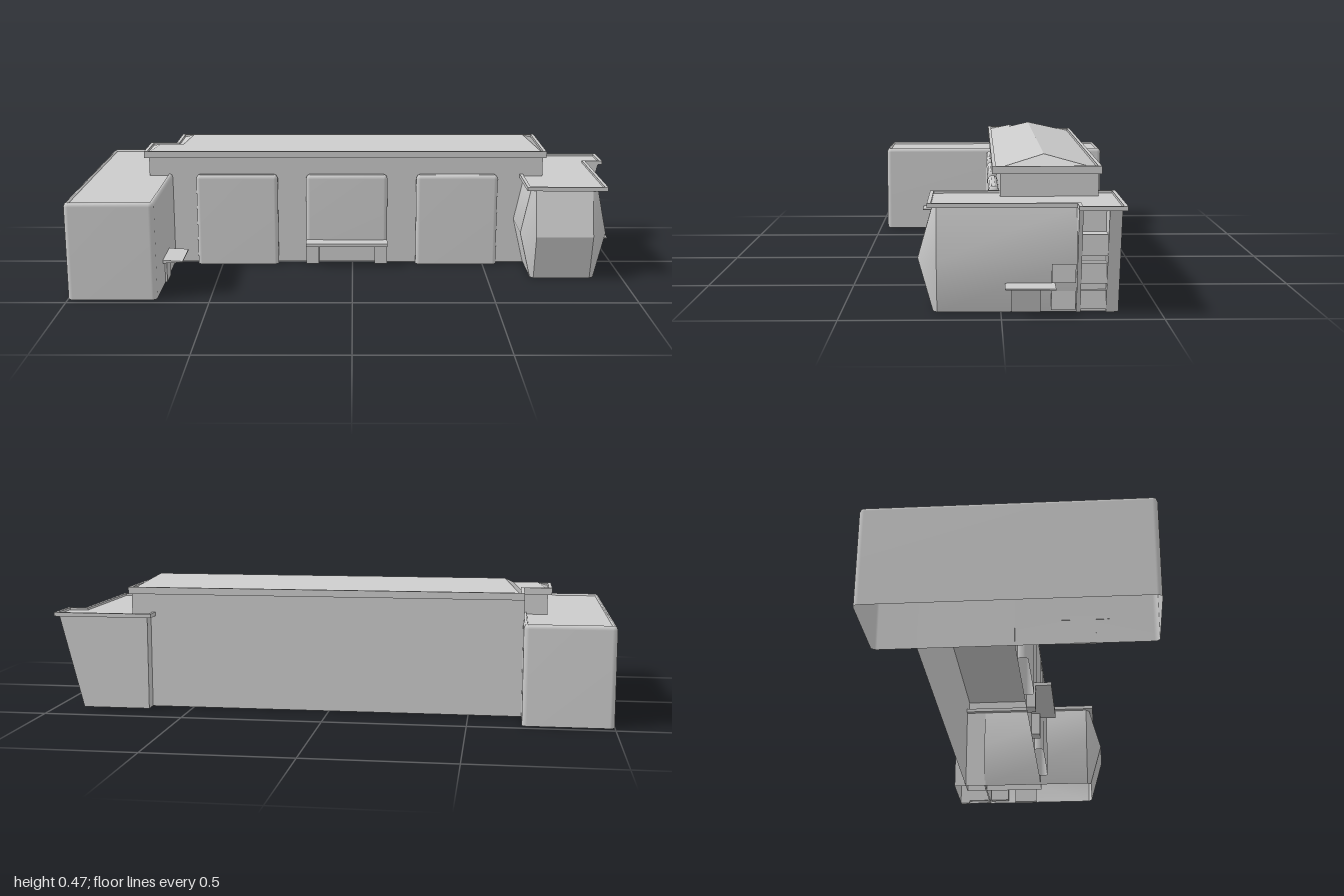
import * as THREE from 'three';
import { toCreasedNormals } from 'three/addons/utils/BufferGeometryUtils.js';

// Walls are open underneath, so both faces show
const grey = new THREE.MeshStandardMaterial({ color: 0xcccccc, side: THREE.DoubleSide });

function add(parent, name, geometry) {
  const mesh = new THREE.Mesh(geometry, grey);
  mesh.name = name;
  parent.add(mesh);
}

// Box given by its limits; an open one has no underside
function box(x0, x1, y0, y1, z0, z1, open = false) {
  const g = new THREE.BoxGeometry(x1 - x0, y1 - y0, z1 - z0);
  g.translate((x0 + x1) / 2, (y0 + y1) / 2, (z0 + z1) / 2);
  if (open) {
    const idx = Array.from(g.index.array);
    idx.splice(18, 6);
    g.setIndex(idx);
    g.clearGroups();
  }
  return g;
}

// Side profile of [x, y] points swept from z0 to z1
function slab(profile, z0, z1) {
  const shape = new THREE.Shape(profile.map(([x, y]) => new THREE.Vector2(x, y)));
  return new THREE.ExtrudeGeometry(shape, { depth: z1 - z0, bevelEnabled: false }).translate(0, 0, z0);
}

// Skin over rings of [x, z] points at rising heights, open underneath
function loft(levels, { top = true, crease = 0 } = {}) {
  const pos = [], idx = [], n = levels[0].pts.length;
  levels.forEach(({ y, pts }) => pts.forEach(([x, z]) => pos.push(x, y, z)));
  for (let k = 0; k < levels.length - 1; k++) {
    for (let i = 0; i < n; i++) {
      const a = k * n + i, b = k * n + (i + 1) % n;
      idx.push(a, b, b + n, a, b + n, a + n);
    }
  }
  if (top) {
    const { y, pts } = levels[levels.length - 1], start = pos.length / 3;
    let cx = 0, cz = 0;
    pts.forEach(([x, z]) => { pos.push(x, y, z); cx += x / n; cz += z / n; });
    pos.push(cx, y, cz);
    for (let i = 0; i < n; i++) idx.push(start + n, start + i, start + (i + 1) % n);
  }
  const g = new THREE.BufferGeometry();
  g.setAttribute('position', new THREE.Float32BufferAttribute(pos, 3));
  g.setIndex(idx);
  g.computeVertexNormals();
  return crease ? toCreasedNormals(g, crease) : g;
}

const rect = (x0, x1, z0, z1) => [[x0, z1], [x1, z1], [x1, z0], [x0, z0]];

// Rectangle with rounded corners, front edge first
function roundRect(x0, x1, z0, z1, r, inset) {
  const pts = [], rr = Math.max(r - inset, 0.002), d = inset + rr;
  const corners = [[x0 + d, z1 - d, Math.PI], [x1 - d, z1 - d, Math.PI / 2],
    [x1 - d, z0 + d, 0], [x0 + d, z0 + d, -Math.PI / 2]];
  for (const [cx, cz, start] of corners) {
    for (let i = 0; i <= 4; i++) {
      const a = start - (i / 4) * Math.PI / 2;
      pts.push([cx + rr * Math.cos(a), cz + rr * Math.sin(a)]);
    }
  }
  return pts;
}

// Block with softened upright edges and a softened top
function softBlock(x0, x1, y0, y1, z0, z1, r, extra = []) {
  const steps = [[y0, 0], [y1 - 0.015, 0], [y1 - 0.005, 0.004], [y1, 0.012], ...extra];
  return loft(steps.map(([y, inset]) => ({ y, pts: roundRect(x0, x1, z0, z1, r, inset) })));
}

// Right-angled outline moved inwards by t
function insetOutline(pts, t) {
  const n = pts.length;
  const normal = (a, b) => {
    const dx = b[0] - a[0], dz = b[1] - a[1], l = Math.hypot(dx, dz);
    return [-dz / l, dx / l];
  };
  return pts.map((p, i) => {
    const m = normal(pts[(i + n - 1) % n], p), k = normal(p, pts[(i + 1) % n]);
    return [p[0] - t * (m[0] + k[0]), p[1] - t * (m[1] + k[1])];
  });
}

// Upright prism on a plan outline, optionally hollow
function prism(pts, y0, y1, hole) {
  const v = (list) => list.map(([x, z]) => new THREE.Vector2(x, -z));
  const shape = new THREE.Shape(v(pts));
  if (hole) shape.holes.push(new THREE.Path(v(hole)));
  const g = new THREE.ExtrudeGeometry(shape, { depth: y1 - y0, bevelEnabled: false });
  return g.rotateX(-Math.PI / 2).translate(0, y0, 0);
}

// Flat roof deck with a raised rim
function rimmedRoof(parent, name, pts, y0, deckY, y1) {
  const inner = insetOutline(pts, 0.012);
  add(parent, name + 'Rim', prism(pts, y0, y1, inner));
  add(parent, name + 'Deck', prism(inner, y0, deckY));
}

function hipRoof(x0, x1, z0, z1, y0, y1, rx0, rx1, rz) {
  return loft([{ y: y0, pts: rect(x0, x1, z0, z1) },
    { y: y1, pts: [[rx0, rz], [rx1, rz], [rx1, rz], [rx0, rz]] }], { top: false, crease: 0.1 });
}

// Canopy tapering from the wall to a thin lip
const canopy = (wallX, lipX, z0, z1) =>
  slab([[wallX, 0.085], [lipX, 0.089], [lipX, 0.093], [wallX, 0.097]], z0, z1);

function createModel() {
  const model = new THREE.Group();
  model.name = 'building';

  // Long side wing with rounded corners and sunken roof
  const leftWing = new THREE.Group();
  leftWing.name = 'leftWing';
  model.add(leftWing);
  add(leftWing, 'leftWingBody',
    softBlock(-1, -0.687, 0, 0.35, -0.47, 0.47, 0.018, [[0.342, 0.015]]));
  add(leftWing, 'leftDoor', box(-0.69, -0.68, 0, 0.085, 0.18, 0.265));
  add(leftWing, 'leftCanopy', canopy(-0.69, -0.615, 0.15, 0.31));

  // Main hall
  const hall = new THREE.Group();
  hall.name = 'mainHall';
  model.add(hall);
  add(hall, 'hallWalls', box(-0.69, 0.725, 0, 0.416, -0.32, 0, true));
  add(hall, 'hallAnnexWalls', box(-0.775, -0.68, 0.335, 0.416, -0.143, 0, true));
  rimmedRoof(hall, 'hallRoof', [[-0.79, 0.025], [0.735, 0.025], [0.735, -0.33],
    [-0.69, -0.33], [-0.69, -0.155], [-0.79, -0.155]], 0.415, 0.43, 0.44);
  add(hall, 'hallHipRoof', hipRoof(-0.68, 0.725, -0.32, 0.015, 0.43, 0.473, -0.62, 0.665, -0.145));
  add(hall, 'annexHipRoof', hipRoof(-0.78, -0.56, -0.145, 0.015, 0.43, 0.451, -0.74, -0.6, -0.065));

  // Rounded front panels; the middle one is raised over an entrance
  [-0.44, -0.022, 0.398].forEach((cx, i) => {
    const y0 = i === 1 ? 0.09 : 0;
    add(hall, 'frontPanel', softBlock(cx - 0.155, cx + 0.155, y0, 0.35, 0, 0.036, 0.015));
  });
  for (const x of [-0.177, 0.085]) add(hall, 'entranceJamb', box(x, x + 0.048, 0, 0.09, 0, 0.033));
  add(hall, 'entranceCanopy', box(-0.177, 0.133, 0.085, 0.097, 0, 0.092));

  // Right wing with a bulging bay
  const rightWing = new THREE.Group();
  rightWing.name = 'rightWing';
  model.add(rightWing);
  const bay = (y, x0, x1, zf) => ({ y, pts: [[x0, 0.2], [0.672, zf], [0.88, zf], [x1, 0.2],
    [x1, -0.24], [x0, -0.24]] });
  add(rightWing, 'bayWalls', loft([bay(0, 0.66, 0.895, 0.213), bay(0.17, 0.62, 0.935, 0.26),
    bay(0.336, 0.655, 0.9, 0.213)], { crease: 0.5 }));
  rimmedRoof(rightWing, 'rightRoof', [[0.638, 0.228], [0.932, 0.228], [0.932, -0.235],
    [1, -0.235], [1, -0.383], [0.638, -0.383]], 0.335, 0.341, 0.349);

  // Flared rear end: core wall and two slanted fins around a window recess
  add(rightWing, 'rearCore', box(0.655, 0.89, 0, 0.336, -0.368, -0.236, true));
  for (const [z0, z1] of [[-0.368, -0.329], [-0.249, -0.236]]) {
    add(rightWing, 'flaredFin', slab([[0.88, 0], [0.9, 0], [0.985, 0.336], [0.88, 0.336]], z0, z1));
  }
  for (const [y0, y1, x1] of [[0.01, 0.07, 0.902], [0.096, 0.16, 0.924], [0.188, 0.254, 0.948]]) {
    add(rightWing, 'recessWindow', box(0.88, x1, y0, y1, -0.329, -0.249));
  }
  for (const [y0, y1, x1] of [[0.01, 0.07, 0.915], [0.1, 0.16, 0.937]]) {
    add(rightWing, 'sideWindow', box(0.88, x1, y0, y1, -0.232, -0.157));
  }
  add(rightWing, 'rightDoor', slab([[0.88, 0], [0.9, 0], [0.921, 0.086], [0.88, 0.086]], -0.125, -0.033));
  add(rightWing, 'rightCanopy', canopy(0.9, 0.988, -0.168, -0.012));

  return model;
}

export { createModel };
